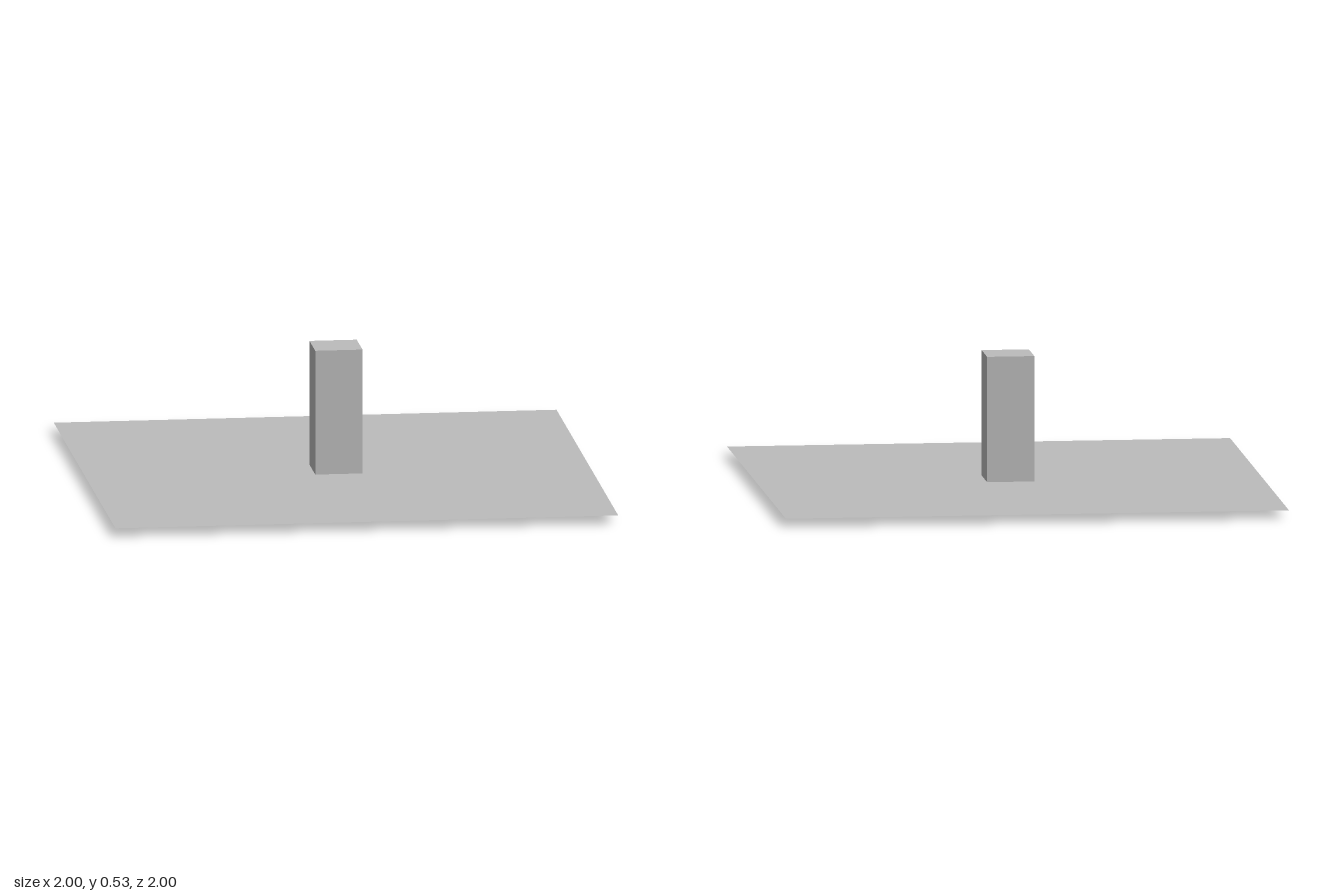
import * as THREE from 'three';

export function createModel() {
  const model = new THREE.Group();
  const grey = new THREE.MeshStandardMaterial({ color: 0xbcbcbc, side: THREE.DoubleSide });
  grey.name = 'plain grey';

  const add = (name, geometry, x, y, z) => {
    const mesh = new THREE.Mesh(geometry, grey);
    mesh.name = name;
    mesh.position.set(x, y, z);
    model.add(mesh);
  };

  const deckY = 0.034;

  // Thin square deck
  add('deck', new THREE.PlaneGeometry(2, 2).rotateX(-Math.PI / 2), 0, deckY, 0);

  // Upright block in the middle
  const blockHeight = 0.5;
  add('block', new THREE.BoxGeometry(0.188, blockHeight, 0.188), 0, deckY + blockHeight / 2, 0);

  // Runner section: flat top, straight sides, rounded underside
  const half = 0.014;
  const length = 0.322;
  const section = new THREE.Shape();
  section.moveTo(half, deckY);
  section.lineTo(-half, deckY);
  section.lineTo(-half, half);
  section.absarc(0, half, half, Math.PI, Math.PI * 2, false);
  section.closePath();
  const runner = new THREE.ExtrudeGeometry(section, {
    depth: length, bevelEnabled: false, curveSegments: 8,
  });
  runner.translate(0, 0, -length / 2);

  // Three runners across, in a front row and a back row
  for (const x of [-0.673, 0, 0.673]) {
    for (const z of [-0.48, 0.48]) add('runner', runner, x, 0, z);
  }

  return model;
}
